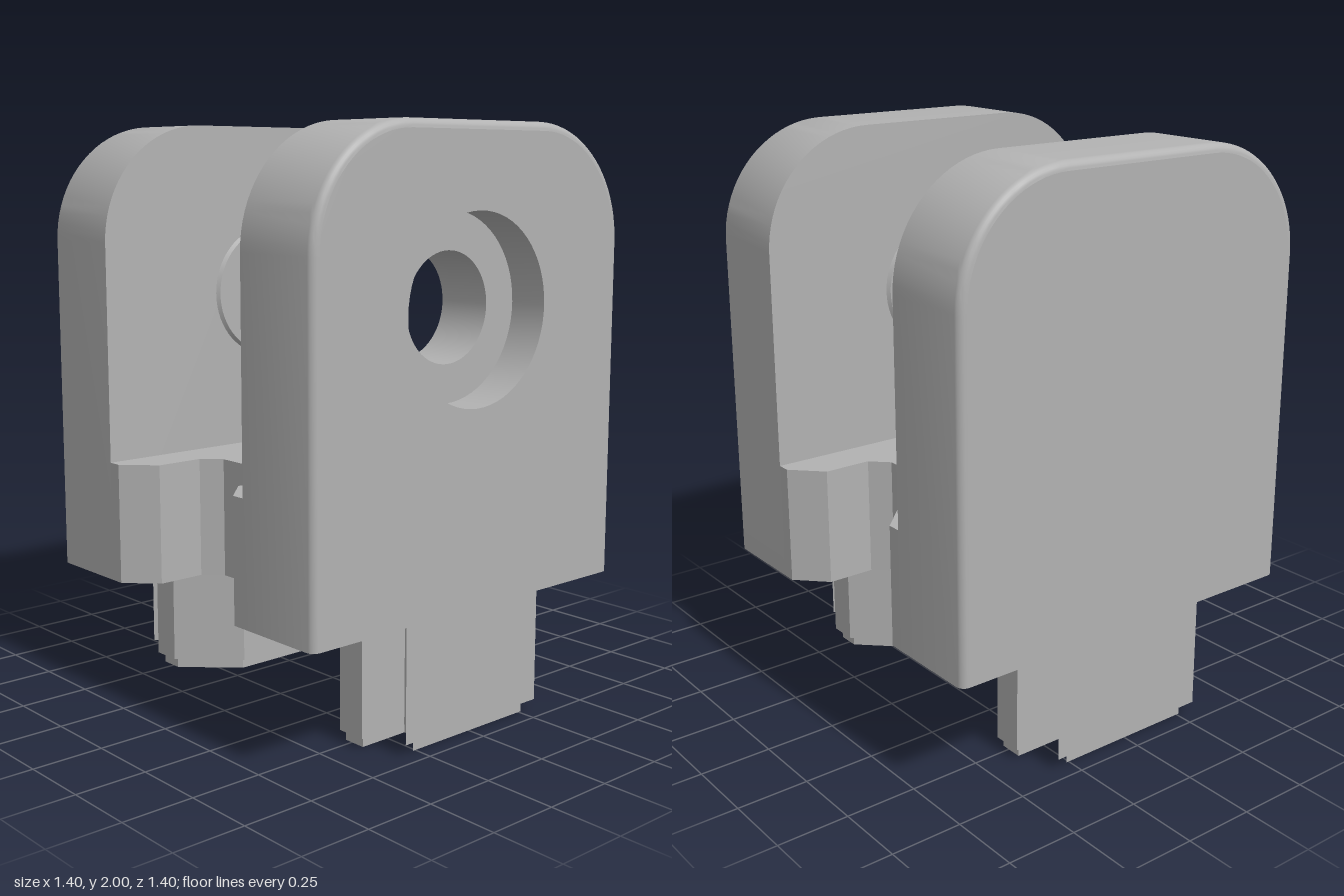
import * as THREE from 'three';
import { toCreasedNormals } from 'three/addons/utils/BufferGeometryUtils.js';

const BASE_Y = 0.425, HOLE_Y = 1.405, INNER = 0.37, OUTER = 0.7, FILLET = 0.03;

// Arched plate outline, counter-clockwise, inset by d on the sides and top
function plateOutline(d) {
  const pts = [new THREE.Vector2(-0.7 + d, BASE_Y), new THREE.Vector2(0.7 - d, BASE_Y)];
  const steps = 20;
  for (const [cx, start] of [[0.3, 0], [-0.3, Math.PI / 2]]) {
    for (let i = 0; i <= steps; i++) {
      const a = start + (i / steps) * Math.PI / 2;
      pts.push(new THREE.Vector2(cx + (0.4 - d) * Math.cos(a), 1.6 + (0.4 - d) * Math.sin(a)));
    }
  }
  return pts;
}

// Rim of the plate: outline loops from the inner face to the rounded outer edge
function plateRim() {
  const profile = [[0, INNER]];
  for (let i = 0; i <= 6; i++) {
    const a = (i / 6) * Math.PI / 2;
    profile.push([FILLET * (1 - Math.cos(a)), OUTER - FILLET + FILLET * Math.sin(a)]);
  }
  const pos = [], idx = [];
  let n = 0;
  for (const [d, z] of profile) {
    const loop = plateOutline(d);
    n = loop.length;
    for (const p of loop) pos.push(p.x, p.y, z);
  }
  for (let r = 0; r < profile.length - 1; r++) {
    for (let i = 0; i < n; i++) {
      const a = r * n + i, b = r * n + (i + 1) % n;
      idx.push(a, b, b + n, a, b + n, a + n);
    }
  }
  const geo = new THREE.BufferGeometry();
  geo.setAttribute('position', new THREE.Float32BufferAttribute(pos, 3));
  geo.setIndex(idx);
  return toCreasedNormals(geo, 0.5);
}

// Flat plate face with an optional round hole
function plateFace(inset, holeRadius) {
  const shape = new THREE.Shape(plateOutline(inset));
  if (holeRadius) shape.holes.push(new THREE.Path().absarc(0, HOLE_Y, holeRadius, 0, Math.PI * 2, true));
  return new THREE.ShapeGeometry(shape, 32);
}

// Turned surface from [radius, height] points
function turned(points) {
  const geo = new THREE.LatheGeometry(points.map(p => new THREE.Vector2(...p)), 64);
  return toCreasedNormals(geo, 0.5);
}

// Upright prism from [x, z] points
function prism(points, y0, y1, holeRadius) {
  const shape = new THREE.Shape(points.map(([x, z]) => new THREE.Vector2(x, -z)));
  if (holeRadius) shape.holes.push(new THREE.Path().absarc(0, 0, holeRadius, 0, Math.PI * 2, true));
  const geo = new THREE.ExtrudeGeometry(shape, { depth: y1 - y0, bevelEnabled: false, curveSegments: 32 });
  geo.rotateX(-Math.PI / 2).translate(0, y0, 0);
  return toCreasedNormals(geo, 0.5);
}

// Complete a half outline by mirroring it across x = 0
const mirrorX = half => [...half, ...half.map(([x, z]) => [-x, z]).reverse()];

export function createModel() {
  const model = new THREE.Group();
  model.name = 'clevisBracket';
  const grey = new THREE.MeshStandardMaterial({ color: 0xb2b2b2, side: THREE.DoubleSide });
  grey.name = 'plainGrey';

  function add(parent, name, geo) {
    const mesh = new THREE.Mesh(geo, grey);
    mesh.name = name;
    parent.add(mesh);
    return mesh;
  }

  // Side plate with its bored boss and the foot below it
  function addSide(name, outerHole, bore) {
    const side = new THREE.Group();
    side.name = name;
    add(side, 'plateRim', plateRim());
    const inner = plateFace(0, 0.235);
    inner.rotateY(Math.PI);
    add(side, 'plateInnerFace', inner).position.z = INNER;
    add(side, 'plateOuterFace', plateFace(FILLET, outerHole)).position.z = OUTER;
    const boreMesh = add(side, 'pinBoreAndBoss', turned(bore).rotateX(Math.PI / 2));
    boreMesh.position.y = HOLE_Y;

    const foot = [[0.31, 0.7], [0.19, 0.6], [0.19, 0.57], [0.38, 0.57], [0.38, 0.465], [0.19, 0.285]];
    const lip = [[0.26, 0.683], [0.172, 0.61], [0.172, 0.553], [0.36, 0.553], [0.36, 0.472], [0.183, 0.303]];
    add(side, 'foot', prism(mirrorX(foot), 0.037, BASE_Y));
    add(side, 'footLip', prism(mirrorX(lip), 0, 0.037));
    model.add(side);
    return side;
  }

  // Front: counterbored through hole; back: blind hole
  addSide('frontSide', 0.315,
    [[0.315, 0.7], [0.315, 0.56], [0.185, 0.56], [0.185, 0.358], [0.225, 0.358], [0.235, INNER]]);
  addSide('backSide', 0,
    [[0, 0.57], [0.168, 0.57], [0.168, 0.358], [0.225, 0.358], [0.235, INNER]]).rotation.y = Math.PI;

  // Bridge between the plates, stacked around a stepped, countersunk bore
  const quarter = [[0.7, 0.37], [0.7, 0.322], [0.6, 0.22], [0.43, 0.22], [0.37, 0.16]];
  const half = [...quarter, ...quarter.map(([x, z]) => [x, -z]).reverse()];
  const outline = mirrorX(half);
  const layers = [[BASE_Y, 0.56, 0.185], [0.56, 0.71, 0.25], [0.71, 0.845, 0.315]];
  for (const [y0, y1, r] of layers) add(model, 'bridge', prism(outline, y0, y1, r));
  add(model, 'countersink', turned([[0.25, 0.71], [0.185, 0.56]]));

  return model;
}
